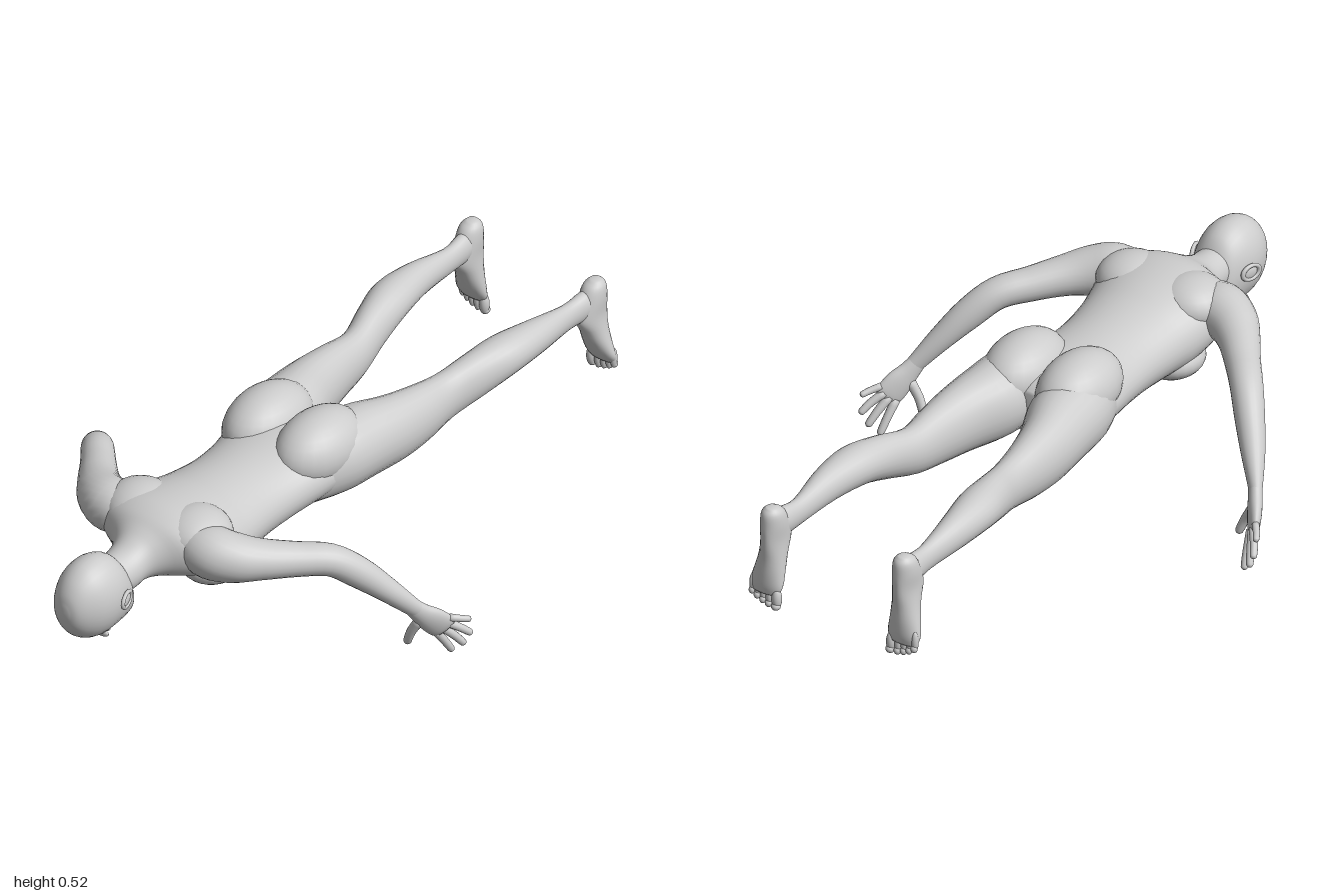
import * as THREE from 'three';

const skin = new THREE.MeshStandardMaterial({ color: 0xcccccc });
skin.name = 'pale grey';
const X = new THREE.Vector3(1, 0, 0);

// Smooth tube through elliptical sections [x, y, z, halfWidth, halfDepth].
// side: direction of halfWidth; axis: fixed normal of the sections (else the path tangent).
function loft(name, sections, { side = X, axis = null, sgn = 1, sub = 4, sides = 24, minZ = -9 } = {}) {
  const centres = new THREE.CatmullRomCurve3(
    sections.map(s => new THREE.Vector3(s[0] * sgn, s[1], s[2])), false, 'catmullrom', 0.5);
  const radii = new THREE.CatmullRomCurve3(
    sections.map(s => new THREE.Vector3(s[3], s[4], 0)), false, 'catmullrom', 0.5);
  const ref = new THREE.Vector3(side.x * sgn, side.y, side.z);
  const n = (sections.length - 1) * sub;
  const pos = [], idx = [];
  const ring = (t, k) => {
    const c = centres.getPoint(t), r = radii.getPoint(t);
    const dir = (axis ? axis.clone() : centres.getTangent(t)).normalize();
    const s = ref.clone().addScaledVector(dir, -ref.dot(dir)).normalize();
    const v = dir.clone().cross(s);
    for (let j = 0; j < sides; j++) {
      const a = j / sides * Math.PI * 2;
      const p = c.clone()
        .addScaledVector(s, Math.max(r.x, 0.002) * k * Math.cos(a))
        .addScaledVector(v, Math.max(r.y, 0.002) * k * Math.sin(a));
      pos.push(p.x, p.y, Math.max(p.z, minZ));
    }
  };
  ring(0, 0);
  for (let i = 0; i <= n; i++) ring(i / n, 1);
  ring(1, 0);
  for (let i = 0; i < n + 2; i++) {
    for (let j = 0; j < sides; j++) {
      const a = i * sides + j, b = i * sides + (j + 1) % sides;
      idx.push(a, b, a + sides, b, b + sides, a + sides);
    }
  }
  const g = new THREE.BufferGeometry();
  g.setAttribute('position', new THREE.Float32BufferAttribute(pos, 3));
  g.setIndex(idx);
  g.computeVertexNormals();
  const m = new THREE.Mesh(g, skin);
  m.name = name;
  return m;
}

function blob(name, [x, y, z], [rx, ry, rz], rot = [0, 0, 0]) {
  const m = new THREE.Mesh(new THREE.SphereGeometry(1, 24, 16), skin);
  m.name = name;
  m.position.set(x, y, z);
  m.scale.set(rx, ry, rz);
  m.rotation.set(...rot);
  return m;
}

const backward = new THREE.Vector3(0, 0, -1);
const down = new THREE.Vector3(0, -1, 0);

function makeHead() {
  const g = new THREE.Group();
  g.name = 'head';
  g.add(loft('skull', [
    [0, 0.36, 0.998, 0.012, 0.016], [0, 0.36, 0.988, 0.038, 0.052], [0, 0.36, 0.965, 0.06, 0.085],
    [0, 0.36, 0.93, 0.078, 0.109], [0, 0.359, 0.89, 0.086, 0.119], [0, 0.357, 0.85, 0.084, 0.117],
    [0, 0.346, 0.81, 0.074, 0.106], [0, 0.325, 0.78, 0.062, 0.082], [0, 0.295, 0.757, 0.042, 0.048],
    [0, 0.285, 0.745, 0.018, 0.022],
  ], { axis: backward, sides: 32 }));
  g.add(blob('nose', [0, 0.243, 0.835], [0.013, 0.017, 0.026], [0.35, 0, 0]));
  g.add(blob('noseTip', [0, 0.235, 0.822], [0.015, 0.013, 0.011]));
  g.add(blob('upperLip', [0, 0.248, 0.797], [0.024, 0.011, 0.006]));
  g.add(blob('lowerLip', [0, 0.251, 0.786], [0.02, 0.011, 0.006]));
  g.add(blob('chin', [0, 0.262, 0.764], [0.026, 0.018, 0.017]));
  for (const s of [1, -1]) {
    g.add(blob('brow', [s * 0.032, 0.253, 0.88], [0.026, 0.012, 0.008]));
    g.add(blob('eye', [s * 0.033, 0.258, 0.862], [0.015, 0.01, 0.009]));
    // Ear: a tilted plate with a raised rim
    g.add(blob('ear', [s * 0.086, 0.362, 0.842], [0.008, 0.02, 0.027], [0, s * 0.3, 0]));
    const rim = new THREE.Mesh(new THREE.TorusGeometry(0.023, 0.006, 8, 24), skin);
    rim.name = 'earRim';
    rim.position.set(s * 0.091, 0.364, 0.844);
    rim.rotation.y = Math.PI / 2 + s * 0.3;
    rim.scale.set(1.2, 0.9, 1);
    g.add(rim);
  }
  return g;
}

function makeTorso() {
  const g = new THREE.Group();
  g.name = 'body';
  g.add(loft('torso', [
    [0, 0.372, 0.83, 0.055, 0.055], [0, 0.372, 0.76, 0.06, 0.06], [0, 0.385, 0.715, 0.067, 0.064],
    [0, 0.395, 0.68, 0.1, 0.073], [0, 0.403, 0.645, 0.16, 0.085], [0, 0.4, 0.6, 0.192, 0.1],
    [0, 0.385, 0.54, 0.195, 0.113], [0, 0.365, 0.46, 0.179, 0.121], [0, 0.36, 0.4, 0.167, 0.114],
    [0, 0.357, 0.3, 0.156, 0.106], [0, 0.36, 0.2, 0.161, 0.101], [0, 0.37, 0.1, 0.178, 0.1],
    [0, 0.37, 0.02, 0.18, 0.095], [0, 0.365, -0.035, 0.14, 0.085], [0, 0.365, -0.065, 0.07, 0.06],
  ], { axis: backward, sides: 40 }));
  for (const s of [1, -1]) {
    g.add(blob('shoulderBlade', [s * 0.095, 0.43, 0.56], [0.1, 0.07, 0.1]));
    g.add(blob('chestMuscle', [s * 0.088, 0.295, 0.48], [0.087, 0.055, 0.095]));
    g.add(blob('buttock', [s * 0.088, 0.425, 0.04], [0.1, 0.099, 0.15]));
  }
  return g;
}

function makeLeg(s) {
  const g = new THREE.Group();
  g.name = s > 0 ? 'leftLeg' : 'rightLeg';
  g.add(loft('leg', [
    [0.09, 0.37, 0.13, 0.07, 0.085], [0.104, 0.38, 0.02, 0.098, 0.106], [0.112, 0.377, -0.09, 0.1, 0.107],
    [0.137, 0.37, -0.2, 0.079, 0.098], [0.148, 0.367, -0.3, 0.063, 0.086], [0.153, 0.37, -0.4, 0.05, 0.071],
    [0.176, 0.395, -0.5, 0.054, 0.066], [0.195, 0.415, -0.6, 0.06, 0.057], [0.205, 0.414, -0.72, 0.045, 0.049],
    [0.204, 0.402, -0.85, 0.026, 0.039], [0.208, 0.405, -0.92, 0.028, 0.043], [0.21, 0.405, -0.96, 0.02, 0.035],
  ], { axis: backward, sgn: s }));
  // Foot hangs from the ankle with the sole facing backward
  g.add(loft('foot', [
    [0.212, 0.472, -0.965, 0.014, 0.014], [0.212, 0.455, -0.96, 0.029, 0.034], [0.212, 0.42, -0.953, 0.034, 0.046],
    [0.212, 0.37, -0.945, 0.033, 0.056], [0.214, 0.32, -0.955, 0.038, 0.042], [0.218, 0.27, -0.966, 0.046, 0.032],
    [0.221, 0.235, -0.975, 0.05, 0.023], [0.222, 0.212, -0.981, 0.043, 0.014],
  ], { axis: down, sgn: s, minZ: -1 }));
  [[0.184, 0.168, 0.014], [0.207, 0.17, 0.011], [0.226, 0.175, 0.01], [0.244, 0.183, 0.01], [0.26, 0.193, 0.01]]
    .forEach(([x, tip, r]) => {
      g.add(blob('toe', [s * x, tip + 0.032, -0.982], [r, 0.032, r * 1.05]));
      g.add(blob('toeTip', [s * x, tip + 0.012, -0.986], [r * 0.95, 0.012, r]));
    });
  return g;
}

function makeArm(s) {
  const g = new THREE.Group();
  g.name = s > 0 ? 'leftArm' : 'rightArm';
  const across = new THREE.Vector3(0.5, 0.68, -0.45); // thumb side to little finger
  g.add(loft('arm', [
    [0.1, 0.41, 0.59, 0.055, 0.06], [0.165, 0.412, 0.588, 0.073, 0.075], [0.225, 0.405, 0.56, 0.068, 0.07],
    [0.28, 0.397, 0.51, 0.055, 0.058], [0.34, 0.386, 0.44, 0.047, 0.049], [0.4, 0.372, 0.37, 0.044, 0.045],
    [0.45, 0.322, 0.312, 0.043, 0.041], [0.5, 0.257, 0.255, 0.034, 0.033], [0.543, 0.193, 0.203, 0.026, 0.02],
    [0.556, 0.172, 0.185, 0.024, 0.016],
  ], { side: across, sgn: s }));
  g.add(loft('palm', [
    [0.54, 0.198, 0.207, 0.024, 0.018], [0.556, 0.168, 0.183, 0.03, 0.019], [0.572, 0.14, 0.157, 0.039, 0.019],
    [0.586, 0.112, 0.132, 0.04, 0.015], [0.592, 0.1, 0.122, 0.032, 0.009],
  ], { side: across, sgn: s }));
  // Each digit: base, middle joint, tip, radius
  const digits = {
    thumb: [[0.552, 0.142, 0.18], [0.525, 0.095, 0.184], [0.504, 0.045, 0.178], 0.013],
    indexFinger: [[0.57, 0.096, 0.142], [0.578, 0.052, 0.113], [0.586, 0.006, 0.086], 0.0115],
    middleFinger: [[0.583, 0.106, 0.13], [0.6, 0.07, 0.098], [0.615, 0.032, 0.07], 0.0115],
    ringFinger: [[0.593, 0.12, 0.12], [0.616, 0.096, 0.09], [0.633, 0.07, 0.062], 0.011],
    littleFinger: [[0.602, 0.138, 0.118], [0.621, 0.13, 0.094], [0.636, 0.122, 0.07], 0.0095],
  };
  for (const [name, [a, b, c, r]] of Object.entries(digits)) {
    const mix = (p, q, t) => p.map((v, i) => v + (q[i] - v) * t);
    g.add(loft(name, [
      [...a, r * 1.1, r * 1.1], [...b, r, r], [...mix(b, c, 0.75), r * 0.9, r * 0.9],
      [...mix(b, c, 0.93), r * 0.65, r * 0.65], [...c, r * 0.2, r * 0.2],
    ], { side: across, sgn: s, sides: 12, sub: 3 }));
  }
  return g;
}

export function createModel() {
  const model = new THREE.Group();
  model.name = 'proneFigure';
  model.add(makeHead(), makeTorso());
  for (const s of [1, -1]) model.add(makeArm(s), makeLeg(s));
  return model;
}
